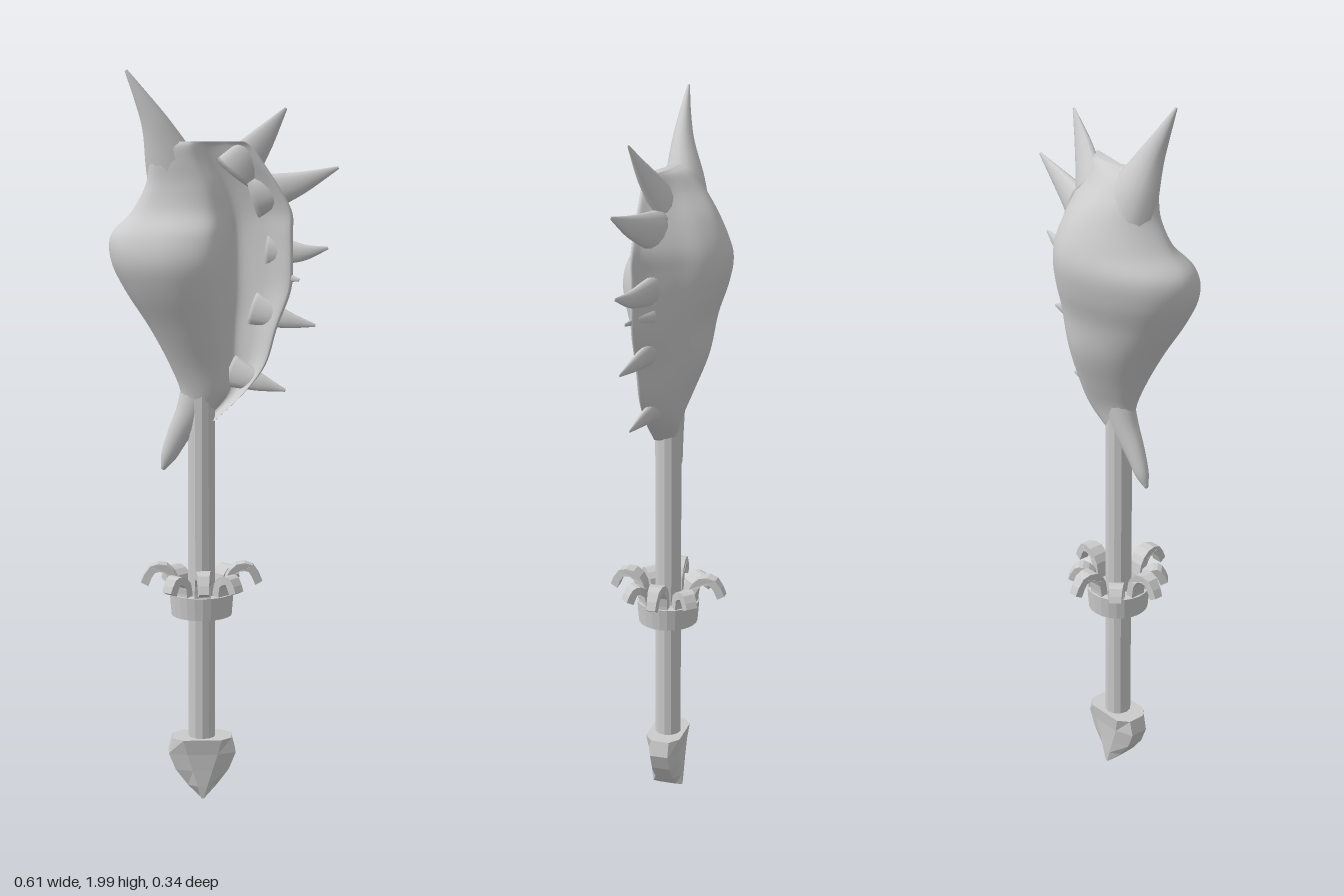
import * as THREE from 'three';

const AXIS_X = -0.06, AXIS_Z = 0.004;
const V = (x, y, z) => new THREE.Vector3(x, y, z);
const smooth = () => new THREE.MeshStandardMaterial({ color: 0xcccccc, roughness: 0.7 });
const faceted = () => new THREE.MeshStandardMaterial({ color: 0xcccccc, roughness: 0.7, flatShading: true });

function part(name, geometry, material) {
  const mesh = new THREE.Mesh(geometry, material);
  mesh.name = name;
  return mesh;
}

// Skin over closed loops ordered bottom to top, closed with a fan at each end
function loft(loops) {
  const n = loops[0].length, pos = [], index = [];
  for (const loop of loops) for (const p of loop) pos.push(p.x, p.y, p.z);
  for (let i = 0; i < loops.length - 1; i++) {
    for (let j = 0; j < n; j++) {
      const a = i * n + j, b = i * n + (j + 1) % n;
      index.push(a, b, b + n, a, b + n, a + n);
    }
  }
  [0, loops.length - 1].forEach((row) => {
    const c = pos.length / 3, mid = V(0, 0, 0);
    loops[row].forEach((p) => mid.addScaledVector(p, 1 / n));
    pos.push(mid.x, mid.y, mid.z);
    for (let j = 0; j < n; j++) {
      const a = row * n + j, b = row * n + (j + 1) % n;
      if (row === 0) index.push(c, b, a); else index.push(c, a, b);
    }
  });
  const g = new THREE.BufferGeometry();
  g.setAttribute('position', new THREE.Float32BufferAttribute(pos, 3));
  g.setIndex(index);
  g.computeVertexNormals();
  return g;
}

// Curved horn: an oval tube along the points, following the listed radii
function horn(points, radii, flat = 1) {
  const curve = new THREE.CatmullRomCurve3(points.map((p) => V(...p)));
  const width = new THREE.CatmullRomCurve3(radii.map((r, i) => V(i, r, 0)), false, 'catmullrom');
  const loops = [], steps = 18, sides = 14;
  for (let i = 0; i <= steps; i++) {
    const t = i / steps, c = curve.getPoint(t), r = width.getPoint(t).y;
    const tan = curve.getTangent(t);
    const u = V(0, 0, 1).cross(tan).normalize(), w = tan.clone().cross(u);
    loops.push(Array.from({ length: sides }, (_, j) => {
      const a = j / sides * Math.PI * 2;
      return c.clone().addScaledVector(u, Math.cos(a) * r).addScaledVector(w, Math.sin(a) * r * flat);
    }));
  }
  return loft(loops);
}

// Shell rows: y, left edge, inner edge of the whorl, lip edge, front depth, back depth
const SHELL = [
  [1.07, -0.125, -0.05, -0.025, 0.025, -0.022],
  [1.14, -0.115, 0.005, 0.05, 0.042, -0.045],
  [1.22, -0.145, 0.005, 0.112, 0.06, -0.077],
  [1.32, -0.198, 0.002, 0.143, 0.095, -0.114],
  [1.42, -0.262, 0.0, 0.18, 0.132, -0.13],
  [1.5, -0.3, 0.0, 0.185, 0.146, -0.155],
  [1.57, -0.3, -0.003, 0.184, 0.122, -0.168],
  [1.63, -0.245, -0.012, 0.182, 0.068, -0.158],
  [1.7, -0.207, -0.03, 0.145, 0.044, -0.125],
  [1.76, -0.198, -0.06, 0.105, 0.036, -0.078],
  [1.8, -0.19, -0.075, 0.08, 0.03, -0.044],
  [1.815, -0.175, -0.075, 0.06, 0.018, -0.012],
];

// Whorl on the left, hollow mouth and thin lip on the right
function shellSection([y, xl, xc, xr, zf, zb]) {
  const w = xc - xl, f = xr - xc;
  return [
    [xl, zf * 0.1], [xl + w * 0.12, zf * 0.66], [xl + w * 0.5, zf], [xl + w * 0.86, zf * 0.82],
    [xc + f * 0.06, zf * 0.2], [xc + f * 0.2, zb * 0.2], [xc + f * 0.6, zb * 0.06],
    [xr - f * 0.05, 0.034], [xr, 0.028], [xr - f * 0.12, 0.008], [xc + f * 0.55, zb * 0.4],
    [xc + f * 0.25, zb * 0.79], [xc - w * 0.14, zb], [xl + w * 0.4, zb * 0.82], [xl + w * 0.1, zb * 0.42],
  ].map(([x, z]) => V(x, y, z));
}

function shellBody() {
  const rows = SHELL.map(shellSection), steps = 66;
  const rails = rows[0].map((_, j) =>
    new THREE.CatmullRomCurve3(rows.map((r) => r[j]), false, 'catmullrom', 0.5));
  const loops = [];
  for (let i = 0; i <= steps; i++) {
    const ring = new THREE.CatmullRomCurve3(rails.map((r) => r.getPoint(i / steps)), true);
    loops.push(Array.from({ length: 90 }, (_, j) => ring.getPoint(j / 90)));
  }
  return loft(loops);
}

function createShell() {
  const shell = new THREE.Group();
  shell.name = 'shell';
  shell.add(part('shellBody', shellBody(), smooth()));
  shell.add(part('crownSpike', horn(
    [[-0.11, 1.66, -0.03], [-0.145, 1.77, -0.015], [-0.18, 1.86, 0], [-0.217, 1.93, 0.006], [-0.257, 2.0, 0.008]],
    [0.085, 0.065, 0.038, 0.02, 0.004], 0.8), smooth()));
  shell.add(part('lowerSpur', horn(
    [[-0.055, 1.2, -0.005], [-0.085, 1.1, 0.002], [-0.122, 1.03, 0.006], [-0.15, 0.97, 0.008], [-0.166, 0.934, 0.01]],
    [0.05, 0.042, 0.031, 0.021, 0.005], 0.8), smooth()));
  // Lip spikes: root, bend, tip, root radius
  [
    [[0.03, 1.73], [0.105, 1.825], [0.163, 1.902], 0.062],
    [[0.08, 1.67], [0.2, 1.705], [0.303, 1.747], 0.06],
    [[0.12, 1.53], [0.21, 1.522], [0.277, 1.535], 0.045],
    [[0.13, 1.46], [0.17, 1.455], [0.2, 1.45], 0.025],
    [[0.08, 1.37], [0.17, 1.342], [0.245, 1.328], 0.045],
    [[0.02, 1.2], [0.1, 1.172], [0.165, 1.153], 0.045],
  ].forEach(([root, bend, tip, r], i) => shell.add(part('lipSpike' + (i + 1), horn(
    [[...root, -0.015], [...bend, 0.022], [...tip, 0.042]], [r, r * 0.52, 0.004], 0.45), smooth())));
  return shell;
}

// Arched band that narrows toward its drooping tip
function petal(size, lift) {
  const mid = new THREE.CatmullRomCurve3([
    V(0.07, 0.57, 0), V(0.076, 0.62 + lift * 0.3, 0), V(0.1, 0.628 + lift, 0),
    V(0.07 + 0.065 * size, 0.625 + lift, 0), V(0.07 + 0.087 * size, 0.6 + lift * 0.5, 0)]);
  const outer = [], inner = [];
  for (let i = 0; i <= 8; i++) {
    const p = mid.getPoint(i / 8), t = mid.getTangent(i / 8), h = 0.011;
    outer.push(new THREE.Vector2(p.x - t.y * h, p.y + t.x * h));
    inner.unshift(new THREE.Vector2(p.x + t.y * h, p.y - t.x * h));
  }
  const g = new THREE.ExtrudeGeometry(new THREE.Shape([...outer, ...inner]), { depth: 0.044, bevelEnabled: false });
  g.translate(0, 0, -0.022);
  const pos = g.attributes.position;
  for (let i = 0; i < pos.count; i++) {
    pos.setZ(i, pos.getZ(i) * (1 - Math.max(0, pos.getX(i) - 0.09) * 5.5));
  }
  g.computeVertexNormals();
  return g;
}

function createCollar() {
  const collar = new THREE.Group();
  collar.name = 'collar';
  const profile = [[0.03, 0.54], [0.07, 0.53], [0.083, 0.528], [0.088, 0.59], [0.07, 0.592], [0.03, 0.582], [0.03, 0.54]];
  collar.add(part('collarRing', new THREE.LatheGeometry(
    profile.map((p) => new THREE.Vector2(...p)), 24), faceted()));
  for (let i = 0; i < 8; i++) {
    const big = i % 2 === 0;
    const m = part(big ? 'largePetal' : 'smallPetal', petal(big ? 1 : 0.68, big ? 0.032 : 0.012), faceted());
    m.rotation.y = i * Math.PI / 4;
    collar.add(m);
  }
  return collar;
}

// Wedge-shaped foot with a flat centre panel and swept wings
function footGeometry() {
  return loft([
    [0.01, 0.006, 0.003, 0.043], [0.045, 0.04, 0.013, 0.044], [0.09, 0.074, 0.027, 0.044],
    [0.137, 0.093, 0.042, 0.045], [0.18, 0.082, 0.053, 0.05],
  ].map(([y, w, s, d]) => [
    [-w, 0.026], [-s, d], [s, d], [w, 0.026], [w, -0.026], [s, -d], [-s, -d], [-w, -0.026],
  ].map(([x, z]) => V(x, y, z))));
}

export function createModel() {
  const model = new THREE.Group();
  model.name = 'shellSceptre';
  const staff = new THREE.Group();
  staff.name = 'staff';
  staff.position.set(AXIS_X, 0, AXIS_Z);
  const handle = part('handle', new THREE.CylinderGeometry(0.037, 0.037, 0.99, 12), faceted());
  handle.position.y = 0.645;
  staff.add(handle, createCollar(), part('foot', footGeometry(), faceted()));
  model.add(staff, createShell());
  return model;
}
